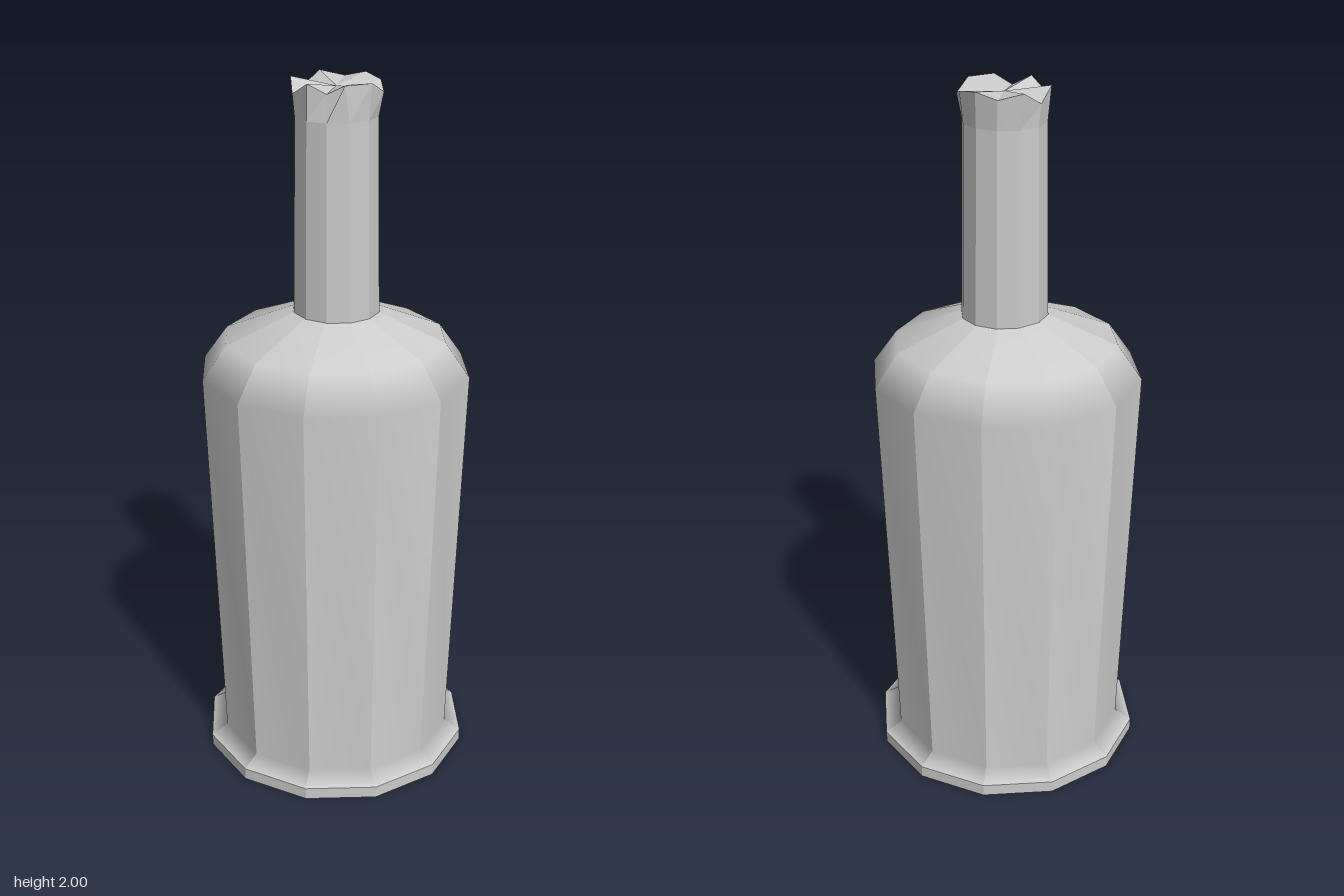
import * as THREE from 'three';
import { mergeGeometries } from 'three/addons/utils/BufferGeometryUtils.js';

const SIDES = 12;
const material = new THREE.MeshStandardMaterial({ color: 0xcccccc, side: THREE.DoubleSide });

// Twelve-sided lathe: creased between the sides, smooth along the profile
function facetedLathe(profile) {
  const points = profile.map(([r, y]) => new THREE.Vector2(r, y));
  const strips = [];
  for (let i = 0; i < SIDES; i++) {
    const step = (Math.PI * 2) / SIDES;
    const strip = new THREE.LatheGeometry(points, 1, i * step, step);
    strip.computeVertexNormals();
    strips.push(strip);
  }
  return mergeGeometries(strips);
}

// Triangles from a list of corner points
function fromCorners(corners) {
  const geometry = new THREE.BufferGeometry().setFromPoints(corners);
  geometry.computeVertexNormals();
  return geometry;
}

export function createModel() {
  const group = new THREE.Group();
  const add = (name, geometry) => {
    const mesh = new THREE.Mesh(geometry, material);
    mesh.name = name;
    group.add(mesh);
  };

  // Flat underside and the short upright rim of the foot
  add('underside', facetedLathe([[0, 0], [0.393, 0]]).scale(1, 1, 0.98));
  add('footRim', facetedLathe([[0.393, 0], [0.393, 0.035]]).scale(1, 1, 0.98));

  // Tapered body with flared foot and rounded shoulder
  add('body', facetedLathe([
    [0.393, 0.035], [0.345, 0.065], [0.38, 1.2], [0.312, 1.295], [0.115, 1.375],
  ]).scale(1, 1, 0.98));

  // Slightly tapered neck
  add('neck', facetedLathe([[0.121, 1.37], [0.113, 1.905]]).translate(0.004, 0, 0));

  // Broken lip: jagged rim corners [x, y, z] running from +x towards +z
  const rim = [
    [0.13, 1.97, 0], [0.11, 2, 0.056], [0.05, 2, 0.105], [0, 1.975, 0.095],
    [-0.05, 2, 0.1], [-0.1, 1.965, 0.055], [-0.118, 2, 0], [-0.1, 1.965, -0.055],
    [-0.065, 2, -0.105], [0, 1.985, -0.122], [0.06, 2, -0.107], [0.11, 1.99, -0.06],
  ].map((p) => new THREE.Vector3(...p));
  const centre = new THREE.Vector3(0.004, 1.98, 0);
  const wall = [];
  const cap = [];
  for (let i = 0; i < SIDES; i++) {
    const j = (i + 1) % SIDES;
    const foot = (k) => {
      const a = (k / SIDES) * Math.PI * 2;
      return new THREE.Vector3(0.004 + 0.113 * Math.cos(a), 1.905, 0.113 * Math.sin(a));
    };
    wall.push(foot(i), rim[i], foot(j), rim[i], rim[j], foot(j));
    cap.push(centre, rim[j], rim[i]);
  }
  add('brokenLip', fromCorners(wall));
  add('brokenTop', fromCorners(cap));

  return group;
}
